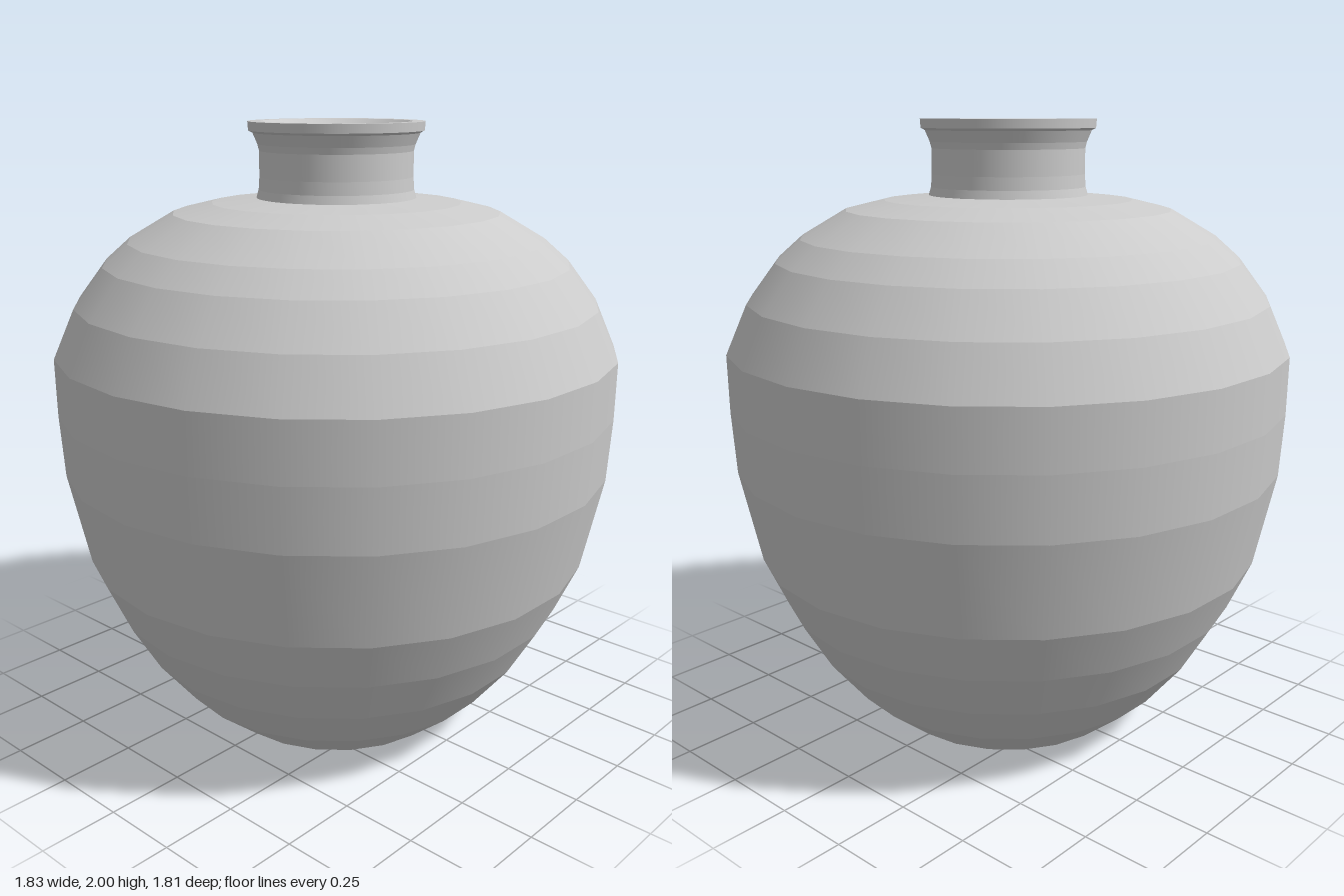
import * as THREE from 'three';
import { mergeGeometries } from 'three/addons/utils/BufferGeometryUtils.js';

const material = new THREE.MeshStandardMaterial({ color: 0xcccccc, side: THREE.DoubleSide });

// Revolves a profile band by band: smooth around, sharp between bands
function turned(name, profile, sides) {
  const points = profile.map(([r, y]) => new THREE.Vector2(r, y));
  const bands = points.slice(1).map((p, i) =>
    new THREE.LatheGeometry([points[i], p], sides, Math.PI / 2));
  const mesh = new THREE.Mesh(mergeGeometries(bands), material);
  mesh.name = name;
  return mesh;
}

export function createModel() {
  const vase = new THREE.Group();
  vase.name = 'vase';

  // Flat base, swelling belly and rounded shoulder
  vase.add(turned('body', [
    [0, 0], [0.4, 0], [0.55, 0.125], [0.67, 0.275], [0.76, 0.43],
    [0.835, 0.595], [0.9, 0.9], [0.912, 1.1], [0.914, 1.285],
    [0.845, 1.44], [0.75, 1.565], [0.67, 1.635], [0.525, 1.72],
    [0.4, 1.75], [0.25, 1.765],
  ], 22));

  // Neck with a flared lip, turning over into the mouth
  vase.add(turned('neck', [
    [0.256, 1.762], [0.248, 1.79], [0.245, 1.83], [0.245, 1.91],
    [0.25, 1.93], [0.265, 1.965], [0.278, 1.972], [0.28, 2],
    [0.24, 2], [0.222, 1.985], [0.212, 1.93], [0.212, 1.762],
  ], 48));

  // Underside of the neck, closing it against the shoulder
  vase.add(turned('neckSeat', [[0.212, 1.762], [0.256, 1.762]], 48));

  return vase;
}
